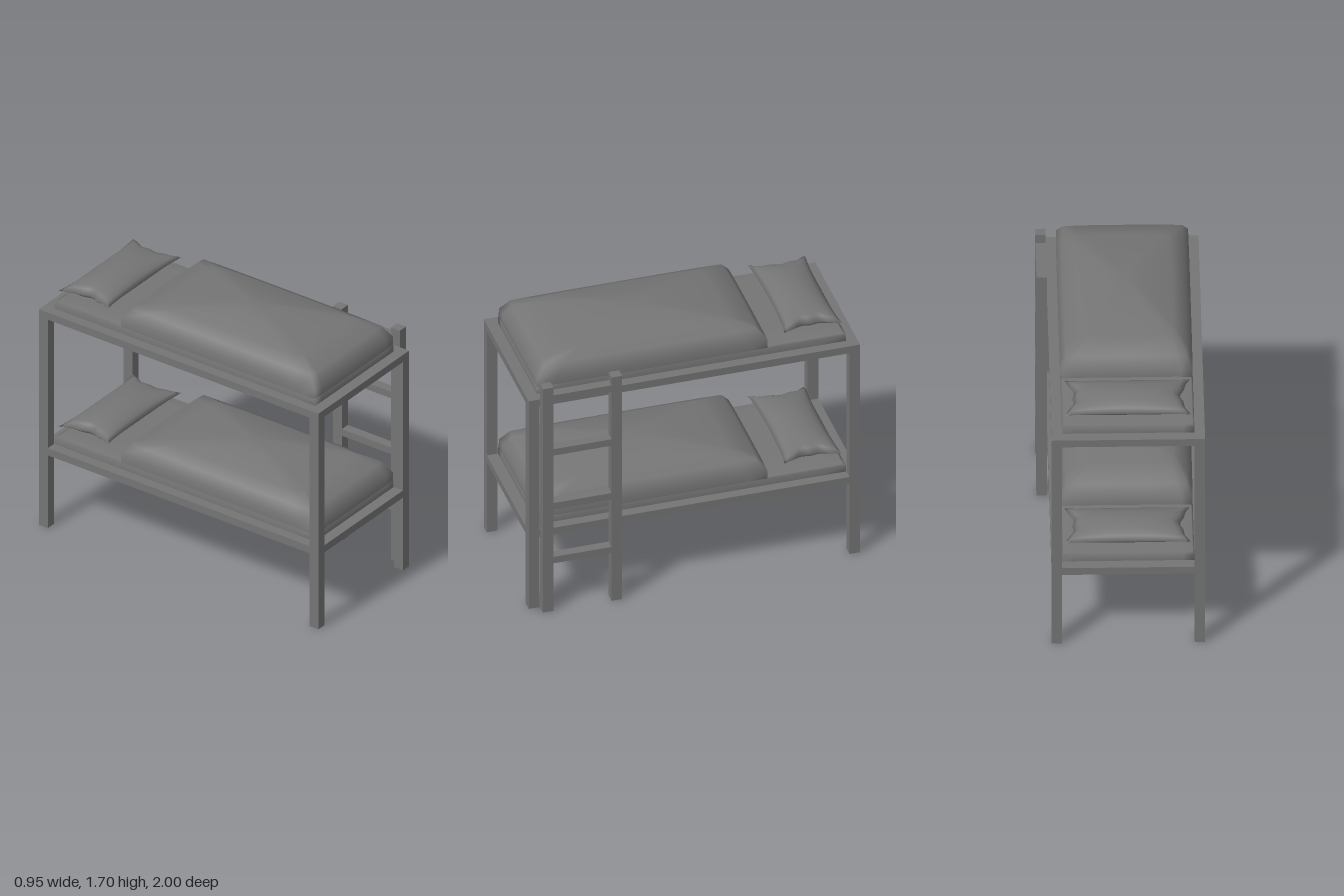
import * as THREE from 'three';
import { mergeGeometries, mergeVertices } from 'three/addons/utils/BufferGeometryUtils.js';

const material = new THREE.MeshStandardMaterial({ color: 0x757575 });
const CX = -0.03; // the bed sits off-centre to make room for the ladder

function add(parent, name, geometry) {
  const mesh = new THREE.Mesh(geometry, material);
  mesh.name = name;
  parent.add(mesh);
  return mesh;
}

// Box given by its minimum and maximum on each axis
function box(parent, name, x0, x1, y0, y1, z0, z1) {
  const mesh = add(parent, name, new THREE.BoxGeometry(x1 - x0, y1 - y0, z1 - z0));
  mesh.position.set((x0 + x1) / 2, (y0 + y1) / 2, (z0 + z1) / 2);
}

// Stack of rectangular loops [y, halfWidth, halfLength, cornerPull], closed on top
function ringLoft(rings, cz) {
  const n = 12, count = 4 * n, positions = [], index = [];
  for (const [y, hx, hz, pull] of rings) {
    for (let k = 0; k < count; k++) {
      const t = -1 + (2 * (k % n)) / n;
      const [u, v] = [[1, t], [-t, 1], [-1, -t], [t, -1]][Math.floor(k / n)];
      positions.push(CX + hx * u * (1 - pull * v ** 4), y, cz + hz * v * (1 - pull * u ** 4));
    }
  }
  const top = (rings.length - 1) * count;
  positions.push(CX, rings[rings.length - 1][0], cz);
  for (let k = 0; k < count; k++) {
    const next = (k + 1) % count;
    for (let r = 0; r < top; r += count) {
      const a = r + k, b = r + next, c = a + count, d = b + count;
      index.push(a, c, b, b, c, d);
    }
    index.push(top + count, top + next, top + k);
  }
  const geometry = new THREE.BufferGeometry();
  geometry.setAttribute('position', new THREE.Float32BufferAttribute(positions, 3));
  geometry.setIndex(index);
  geometry.computeVertexNormals();
  return geometry;
}

// Two puffed sheets welded along a pinched rim
function pillowGeometry() {
  const sheets = [1, -1].map((side) => {
    const sheet = new THREE.PlaneGeometry(2, 2, 24, 16);
    sheet.rotateX((-side * Math.PI) / 2);
    const p = sheet.attributes.position;
    for (let i = 0; i < p.count; i++) {
      const u = p.getX(i), v = p.getZ(i);
      const a = Math.max(0, 1 - u * u), b = Math.max(0, 1 - v * v);
      const ripple = 0.02 * Math.sin(9 * v + 2 * u) * b * u * u;
      p.setXYZ(i,
        0.365 * u * (1 - 0.15 * b ** 1.3 + ripple),
        side * 0.06 * a ** 0.4 * b ** 0.65,
        0.178 * v * (1 - 0.12 * Math.sqrt(a)));
    }
    sheet.deleteAttribute('normal');
    sheet.deleteAttribute('uv');
    return sheet;
  });
  const geometry = mergeVertices(mergeGeometries(sheets));
  geometry.computeVertexNormals();
  return geometry;
}

// Bed base with its bedding; y is the top of the base
function bunk(parent, name, y) {
  const group = new THREE.Group();
  group.name = name;
  parent.add(group);
  box(group, 'bedBase', -0.473, 0.413, y - 0.048, y, -1, 1);
  add(group, 'mattress', ringLoft([
    [y, 0.382, 0.933, 0],
    [y + 0.042, 0.382, 0.933, 0],
    [y + 0.05, 0.372, 0.915, 0],
    [y + 0.055, 0.3, 0.75, 0],
  ], 0));
  add(group, 'duvet', ringLoft([
    [y + 0.03, 0.38, 0.695, 0],
    [y + 0.1, 0.383, 0.697, 0.005],
    [y + 0.168, 0.352, 0.647, 0.015],
    [y + 0.21, 0.28, 0.5, 0.05],
    [y + 0.25, 0.09, 0.15, 0.2],
  ], 0.235));
  add(group, 'pillow', pillowGeometry()).position.set(CX, y + 0.115, -0.742);
}

export function createModel() {
  const model = new THREE.Group();
  model.name = 'bunkBed';

  // Four corner posts
  for (const x of [-0.473, 0.353])
    for (const z of [-1, 0.936]) box(model, 'cornerPost', x, x + 0.06, 0, 1.445, z, z + 0.064);

  bunk(model, 'lowerBunk', 0.536);
  bunk(model, 'upperBunk', 1.446);

  // Ladder on the left side near the foot end
  const ladder = new THREE.Group();
  ladder.name = 'ladder';
  model.add(ladder);
  for (const z of [0.455, 0.87]) box(ladder, 'ladderRail', 0.413, 0.473, 0, 1.555, z, z + 0.063);
  for (let i = 0; i < 4; i++) {
    const y = 0.33 + i * 0.375;
    box(ladder, 'ladderRung', 0.414, 0.472, y, y + 0.045, 0.518, 0.87);
  }
  return model;
}
